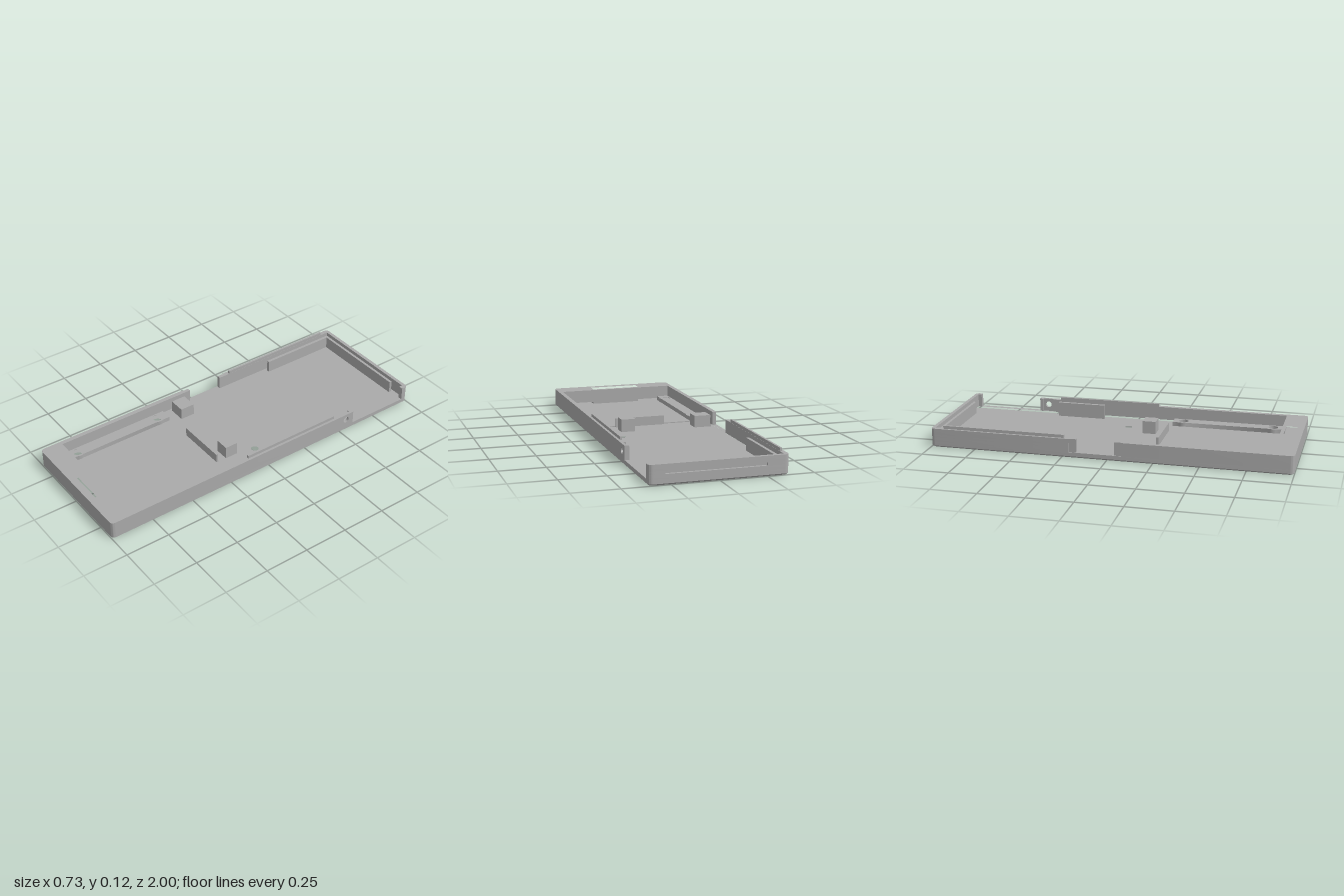
import * as THREE from 'three';
import { toCreasedNormals } from 'three/addons/utils/BufferGeometryUtils.js';

const W = 0.365, L = 1, R = 0.025;      // half width, half length, corner radius
const IN = 0.34, FLOOR = 0.013, SILL = 0.03, TOP = 0.105;

export function createModel() {
  const model = new THREE.Group();
  model.name = 'tray';
  const grey = new THREE.MeshStandardMaterial({ color: 0xaaaaaa });
  grey.name = 'grey plastic';

  const add = (name, geometry) => {
    const mesh = new THREE.Mesh(toCreasedNormals(geometry, 0.5), grey);
    mesh.name = name;
    model.add(mesh);
    return mesh;
  };
  // box given by its limits
  const box = (name, x0, x1, y0, y1, z0, z1) => {
    const g = new THREE.BoxGeometry(x1 - x0, y1 - y0, z1 - z0);
    g.translate((x0 + x1) / 2, (y0 + y1) / 2, (z0 + z1) / 2);
    return add(name, g);
  };
  // outline from [x, z] corners; [cx, cz, x, z] rounds a corner
  const outline = (pts, Type = THREE.Shape) => {
    const s = new Type();
    pts.forEach((p, i) => {
      if (i === 0) s.moveTo(p[0], -p[1]);
      else if (p.length === 4) s.quadraticCurveTo(p[0], -p[1], p[2], -p[3]);
      else s.lineTo(p[0], -p[1]);
    });
    s.closePath();
    return s;
  };
  const rect = (x0, x1, z0, z1) => outline([[x0, z0], [x1, z0], [x1, z1], [x0, z1]], THREE.Path);
  const circle = (x, z, r) => new THREE.Path().absarc(x, -z, r, 0, Math.PI * 2, true);
  const slabGeometry = (shape, y0, y1) => {
    const g = new THREE.ExtrudeGeometry(shape, { depth: y1 - y0, bevelEnabled: false, curveSegments: 12 });
    return g.rotateX(-Math.PI / 2).translate(0, y0, 0);
  };
  const slab = (name, shape, y0, y1) => add(name, slabGeometry(shape, y0, y1));

  const fullOutline = () => outline([
    [-W, L - R], [-W, -L + R], [-W, -L, -W + R, -L], [W - R, -L], [W, -L, W, -L + R],
    [W, L - R], [W, L, W - R, L], [-W + R, L], [-W, L, -W, L - R]]);
  const strapSlot = () => rect(-0.15, 0.14, 0.9, 0.96);
  const screwX = 0.305, screwZ = [0.29, 0.81];

  // floor with counterbores, strap slot and a small hole
  const floorShape = () => {
    const s = fullOutline();
    s.holes.push(strapSlot(), circle(0.21, -0.015, 0.022));
    for (const side of [-1, 1]) for (const z of screwZ) s.holes.push(circle(side * screwX, z, 0.035));
    return s;
  };
  const bottom = slabGeometry(floorShape(), 0, 0.008);
  const p = bottom.attributes.position;
  for (let i = 0; i < p.count; i++) {     // chamfer the lower outer edge
    const x = p.getX(i), z = p.getZ(i);
    if (p.getY(i) < 0.001 && (Math.abs(x) > 0.345 || Math.abs(z) > 0.97)) {
      p.setX(i, x * 0.978);
      p.setZ(i, z * 0.992);
    }
  }
  add('chamferedBottom', bottom);
  slab('floor', floorShape(), 0.008, FLOOR);
  box('pocketFloor', -0.2695, 0.2695, FLOOR, 0.018, 0.23, 0.88);

  // continuous low rim
  const rim = fullOutline();
  rim.holes.push(rect(-IN, IN, -0.98, 0.88), strapSlot());
  slab('lowerRim', rim, FLOOR, SILL);

  // front wall with solid end block
  const front = outline([
    [W, -0.49], [W, L - R], [W, L, W - R, L], [-W + R, L], [-W, L, -W, L - R],
    [-W, 0.08], [-0.36, 0.08], [-0.36, 0.04], [-IN, 0.04], [-IN, 0.88], [IN, 0.88], [IN, -0.49]]);
  front.holes.push(strapSlot());
  slab('frontWall', front, SILL, TOP);

  // rear wall in three layers, the middle one grooved on the outside
  const rear = (grooved) => outline([
    [-0.36, -0.17], [-0.36, -0.21], [-W, -0.21], [-W, -L + R], [-W, -L, -W + R, -L],
    ...(grooved ? [[-0.25, -L], [-0.25, -0.985], [0.28, -0.985], [0.28, -L]] : []),
    [W - R, -L], [W, -L, W, -L + R], [W, -0.96], [IN, -0.96], [IN, -0.98], [-IN, -0.98], [-IN, -0.17]]);
  slab('rearWallLower', rear(false), SILL, 0.055);
  slab('rearWallGroove', rear(true), 0.055, 0.07);
  slab('rearWallUpper', rear(false), 0.07, TOP);

  // left-hand wall end with a round cross hole and a recess inside
  const post = new THREE.Shape();
  post.moveTo(0.49, SILL).lineTo(0.59, SILL).lineTo(0.59, TOP).lineTo(0.49, TOP).closePath();
  post.holes.push(new THREE.Path().absarc(0.54, 0.07, 0.018, 0, Math.PI * 2, true));
  const postGeometry = new THREE.ExtrudeGeometry(post, { depth: 0.015, bevelEnabled: false, curveSegments: 12 });
  add('holeWall', postGeometry.rotateY(Math.PI / 2).translate(0.35, 0, 0));
  box('holeWallRearCheek', IN, 0.35, SILL, TOP, -0.59, -0.57);
  box('holeWallFrontCheek', IN, 0.35, SILL, TOP, -0.51, -0.49);

  // snap lips on top of the walls
  box('rightLip', -0.353, -0.341, TOP, 0.122, -0.93, -0.24);
  box('leftLip', 0.34, 0.351, TOP, 0.122, -0.46, 0.135);

  // inner ribs
  box('rearRib', -0.34, 0.255, FLOOR, 0.083, -0.98, -0.965);
  box('rightRib', -0.34, -0.323, FLOOR, 0.083, -0.965, -0.52);
  box('leftRib', 0.322, 0.34, FLOOR, 0.095, -0.47, -0.19);
  box('middleRib', -0.105, 0.185, FLOOR, 0.065, 0.215, 0.228);

  // support blocks
  box('largeBlock', -0.345, -0.245, FLOOR, 0.08, 0.08, 0.165);
  box('smallBlock', 0.108, 0.188, FLOOR, 0.085, 0.09, 0.165);

  // side ledges with rounded screw bosses
  const edge = 0.272, bossR = 0.038;
  const a = Math.acos((screwX - edge) / bossR);
  for (const side of [-1, 1]) {
    const ledge = (holeR) => {
      const s = new THREE.Shape();
      s.moveTo(side * IN, -0.23);
      s.lineTo(side * edge, -0.23);
      for (const z of screwZ) {
        if (side > 0) s.absarc(screwX, -z, bossR, Math.PI - a, Math.PI + a, false);
        else s.absarc(-screwX, -z, bossR, a, -a, true);
      }
      s.lineTo(side * edge, -0.88);
      s.lineTo(side * IN, -0.88);
      s.closePath();
      for (const z of screwZ) s.holes.push(circle(side * screwX, z, holeR));
      return s;
    };
    const label = side > 0 ? 'left' : 'right';
    slab(label + 'LedgeLower', ledge(0.035), FLOOR, 0.027);
    slab(label + 'LedgeUpper', ledge(0.027), 0.027, 0.041);
  }

  return model;
}
